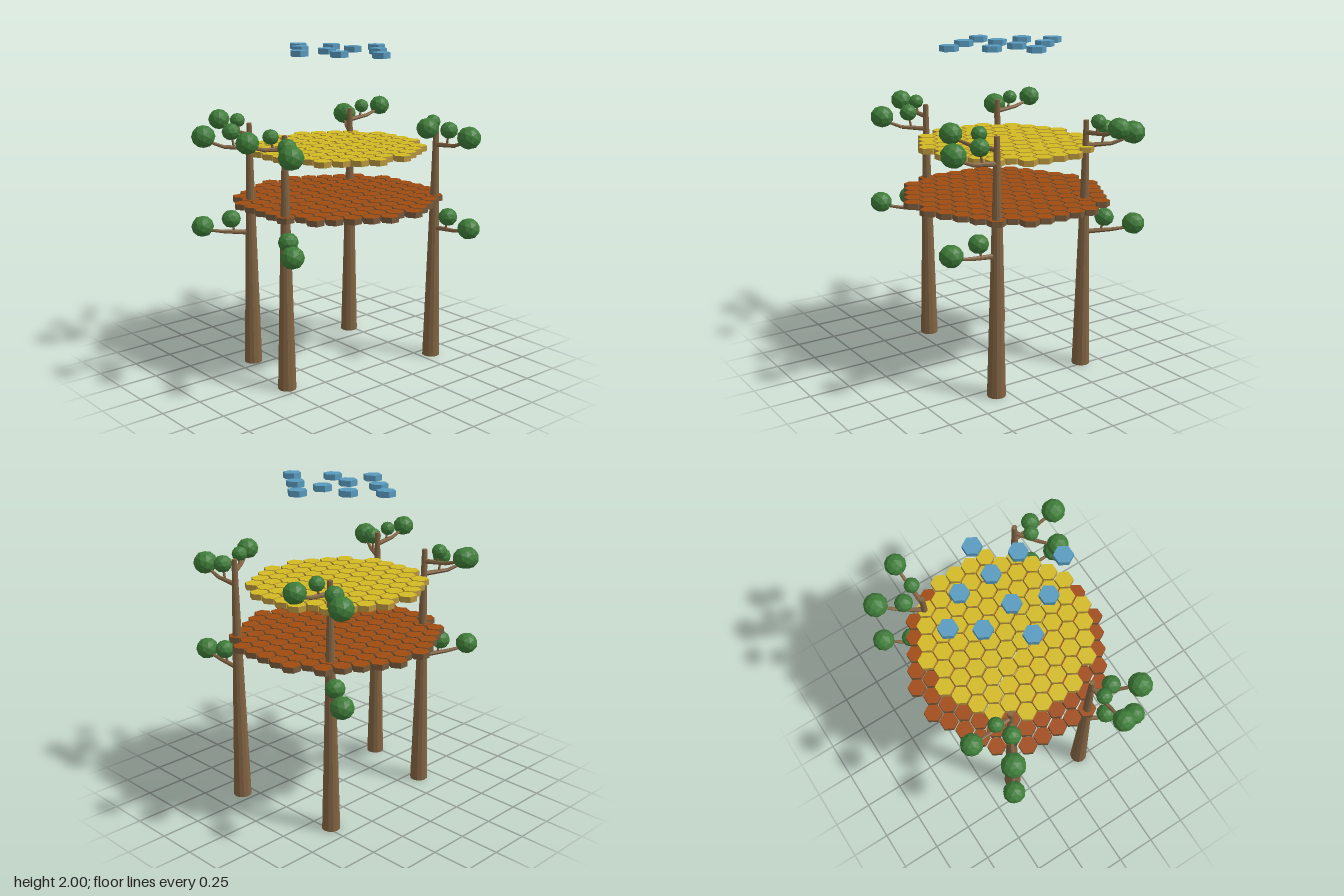
import * as THREE from 'three';

const mat = (name, color, flatShading = true) => {
  const m = new THREE.MeshStandardMaterial({ color, flatShading });
  m.name = name;
  return m;
};

export function createModel() {
  const bark = mat('bark brown', 0x826443);
  const leaf = mat('leaf green', 0x3f7d39);
  const honey = mat('honey yellow', 0xd2b922);
  const honeyEdge = mat('dull gold', 0xb9963e);
  const rust = mat('rust orange', 0xa04a10);
  const rustEdge = mat('dark wood', 0x765a3c);
  const sky = mat('sky blue', 0x589abe);

  const model = new THREE.Group();
  model.name = 'honeycombTreeDecks';

  const add = (parent, name, geometry, material, x = 0, y = 0, z = 0) => {
    const mesh = new THREE.Mesh(geometry, material);
    mesh.name = name;
    mesh.position.set(x, y, z);
    parent.add(mesh);
    return mesh;
  };

  // Hexagonal tile with corners pointing along x
  const tile = new THREE.CylinderGeometry(0.057, 0.057, 0.035, 6, 1, false, Math.PI / 6);

  // Round deck of hexagonal tiles: every cell within the limit radius
  const CX = 0.095, CZ = -0.046, DX = 0.096, DZ = 0.1065;
  function deck(name, y, limit, top, edge) {
    const group = new THREE.Group();
    group.name = name;
    for (let i = -7; i <= 7; i++) {
      for (let j = -7; j <= 7; j++) {
        const x = i * DX;
        const z = (j + (i % 2 ? 0.5 : 0)) * DZ;
        if (Math.hypot(x, z) < limit) {
          add(group, 'deckTile', tile, [edge, top, edge], CX + x, y, CZ + z);
        }
      }
    }
    model.add(group);
  }
  deck('lowerDeck', 1.057, 0.625, rust, rustEdge);
  deck('upperDeck', 1.378, 0.52, honey, honeyEdge);

  // Floating tiles above the decks
  const floating = new THREE.Group();
  floating.name = 'floatingTiles';
  model.add(floating);
  [
    [0.073, -0.412], [-0.033, -0.258], [0.214, -0.254],
    [-0.2, -0.05], [0.011, -0.05], [0.218, -0.05], [0.413, -0.05],
    [-0.055, 0.145], [0.25, 0.145], [0.099, 0.34],
  ].forEach(([x, z]) => add(floating, 'floatingTile', tile, sky, x, 1.9825, z));

  // Tapered limb between two points
  const UP = new THREE.Vector3(0, 1, 0);
  function limb(parent, name, a, b, r0, r1) {
    const dir = b.clone().sub(a);
    const mesh = add(parent, name, new THREE.CylinderGeometry(r1, r0, dir.length(), 7), bark);
    mesh.position.copy(a).add(b).multiplyScalar(0.5);
    mesh.quaternion.setFromUnitVectors(UP, dir.normalize());
  }

  // Branch with a large leaf clump at its tip and a small one on a twig
  function branch(tree, angle, s) {
    const group = new THREE.Group();
    group.name = s.name;
    group.rotation.y = -angle;
    tree.add(group);
    const P = (d, y) => new THREE.Vector3(d, y, 0);
    const mid = P(s.reach * 0.55, s.y0 + 0.012);
    limb(group, 'branchInner', P(0, s.y0), mid, 0.016, 0.012);
    limb(group, 'branchOuter', mid, P(s.reach, s.tipY - 0.02), 0.012, 0.008);
    limb(group, 'twig', P(s.twig * 0.85, s.y0 + 0.008), P(s.twig, s.twigY), 0.008, 0.006);
    const big = add(group, 'leafClump', new THREE.IcosahedronGeometry(s.big, 1), leaf, s.reach, s.tipY, 0);
    const small = add(group, 'smallLeafClump', new THREE.IcosahedronGeometry(s.small, 1), leaf, s.twig, s.twigY, 0);
    big.scale.y = small.scale.y = 0.95;
    big.rotation.y = angle;
    small.rotation.y = angle + 1;
  }
  const lower = { name: 'lowerBranch', y0: 0.86, reach: 0.3, tipY: 0.912, twig: 0.122, twigY: 0.952, big: 0.07, small: 0.06 };
  const main = { name: 'mainBranch', y0: 1.395, reach: 0.28, tipY: 1.475, twig: 0.112, twigY: 1.5, big: 0.074, small: 0.056 };
  const crown = { name: 'crownBranch', y0: 1.475, reach: 0.28, tipY: 1.543, twig: 0.107, twigY: 1.556, big: 0.067, small: 0.047 };

  // Trees: x, z, main branch angle, crown branch angle (degrees from +x towards +z)
  [
    [-0.386, -0.316, 209.5, 263],
    [-0.482, 0.169, 120, 174.5],
    [0.579, 0.328, 90, 146],
    [0.476, -0.375, -58, -3.5],
  ].forEach(([x, z, a, b]) => {
    const tree = new THREE.Group();
    tree.name = 'tree';
    tree.position.set(x, 0, z);
    model.add(tree);
    add(tree, 'trunk', new THREE.CylinderGeometry(0.016, 0.056, 1.55, 12), bark, 0, 0.775, 0);
    const rad = THREE.MathUtils.degToRad;
    branch(tree, rad(a), lower);
    branch(tree, rad(a), main);
    branch(tree, rad(b), crown);
  });

  return model;
}
